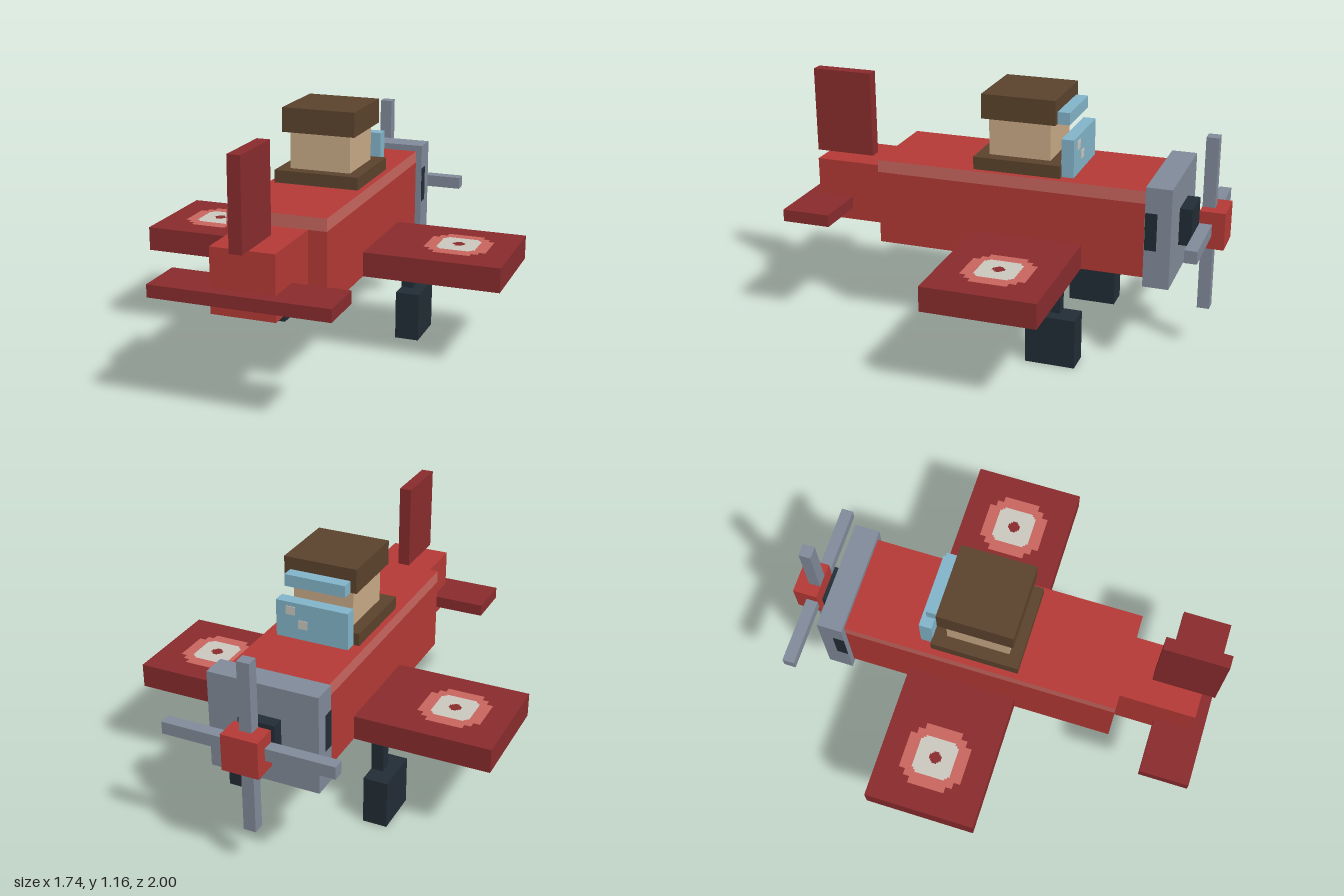
import * as THREE from 'three';

const mat = (name, color, extra) => {
  const m = new THREE.MeshStandardMaterial({ color });
  m.name = name;
  return m;
};

export function createModel() {
  const red = mat('red', 0xb53a35);
  const darkRed = mat('darkRed', 0x8a2c2d);
  const lightRed = mat('lightRed', 0xca665f);
  const grey = mat('grey', 0x828b9a);
  const black = mat('blueBlack', 0x222d36);
  const brown = mat('brown', 0x5c432d);
  const tan = mat('tan', 0xcaab87);
  const blue = mat('glassBlue', 0x83b5ca);
  const white = mat('offWhite', 0xcbc8c0);

  const plane = new THREE.Group();
  plane.name = 'toyPlane';

  // box given by its extents along each axis
  function box(name, material, [x0, x1], [y0, y1], [z0, z1]) {
    const mesh = new THREE.Mesh(new THREE.BoxGeometry(x1 - x0, y1 - y0, z1 - z0), material);
    mesh.position.set((x0 + x1) / 2, (y0 + y1) / 2, (z0 + z1) / 2);
    mesh.name = name;
    plane.add(mesh);
    return mesh;
  }
  // box centred on x = 0
  const mid = (name, material, half, y, z) => box(name, material, [-half, half], y, z);

  // flat plate on the wing top with stepped corners
  function plate(name, material, half, step, x, y, z) {
    const a = half - step, b = half - step / 2;
    const corner = [[half, a], [b, a], [b, b], [a, b], [a, half]];
    const pts = [];
    for (let q = 0; q < 4; q++) {
      for (const [u, v] of corner) {
        const [c, s] = [[1, 0], [0, 1], [-1, 0], [0, -1]][q];
        pts.push(new THREE.Vector2(u * c - v * s, u * s + v * c));
      }
    }
    const mesh = new THREE.Mesh(new THREE.ShapeGeometry(new THREE.Shape(pts)), material);
    mesh.rotation.x = -Math.PI / 2;
    mesh.position.set(x, y, z);
    mesh.name = name;
    plane.add(mesh);
  }

  // body, with a light band around its upper edge
  mid('fuselage', red, 0.23, [0.41, 0.757], [-0.68, 0.59]);
  mid('fuselageTopBand', [lightRed, lightRed, red, red, lightRed, lightRed], 0.23, [0.757, 0.815], [-0.68, 0.59]);
  mid('tailBoom', red, 0.145, [0.467, 0.757], [0.59, 0.94]);
  mid('tailFin', darkRed, 0.029, [0.757, 1.162], [0.71, 1]);
  mid('tailplane', darkRed, 0.405, [0.525, 0.582], [0.77, 1]);

  // engine and propeller
  mid('cowling', grey, 0.26, [0.38, 0.845], [-0.797, -0.68]);
  mid('propellerShaft', black, 0.086, [0.525, 0.698], [-0.855, -0.797]);
  mid('propellerHub', red, 0.086, [0.525, 0.698], [-1, -0.885]);
  mid('verticalBlade', grey, 0.029, [0.205, 1.02], [-0.942, -0.886]);
  mid('horizontalBlade', grey, 0.405, [0.583, 0.641], [-0.942, -0.886]);

  // pilot and cockpit
  mid('cockpitRim', brown, 0.202, [0.815, 0.874], [-0.277, 0.13]);
  mid('pilotHead', tan, 0.145, [0.874, 1.048], [-0.216, 0.073]);
  mid('pilotCap', brown, 0.174, [1.048, 1.162], [-0.246, 0.1]);
  mid('goggles', blue, 0.145, [1.048, 1.104], [-0.303, -0.246]);
  mid('windshield', blue, 0.174, [0.815, 0.99], [-0.333, -0.275]);
  box('upperGlint', white, [0.08, 0.125], [0.93, 0.97], [-0.336, -0.333]);
  box('lowerGlint', white, [0.02, 0.065], [0.87, 0.91], [-0.336, -0.333]);

  // mirrored parts
  for (const side of [1, -1]) {
    const pair = (name, material, a, b, y, z) =>
      box(name, material, side > 0 ? [a, b] : [-b, -a], y, z);
    pair('wing', darkRed, 0.23, 0.868, [0.41, 0.525], [-0.39, 0.126]);
    pair('landingStrut', black, 0.291, 0.349, [0.233, 0.41], [-0.331, -0.275]);
    pair('wheel', black, 0.291, 0.406, [0, 0.233], [-0.417, -0.187]);
    pair('exhaustPort', black, 0.258, 0.262, [0.555, 0.728], [-0.735, -0.682]);
    // wing roundel
    plate('roundelRing', lightRed, 0.147, 0.06, side * 0.609, 0.527, -0.136);
    plate('roundelField', white, 0.091, 0.02, side * 0.609, 0.529, -0.136);
    plate('roundelDot', darkRed, 0.028, 0.016, side * 0.609, 0.531, -0.136);
  }
  return plane;
}
